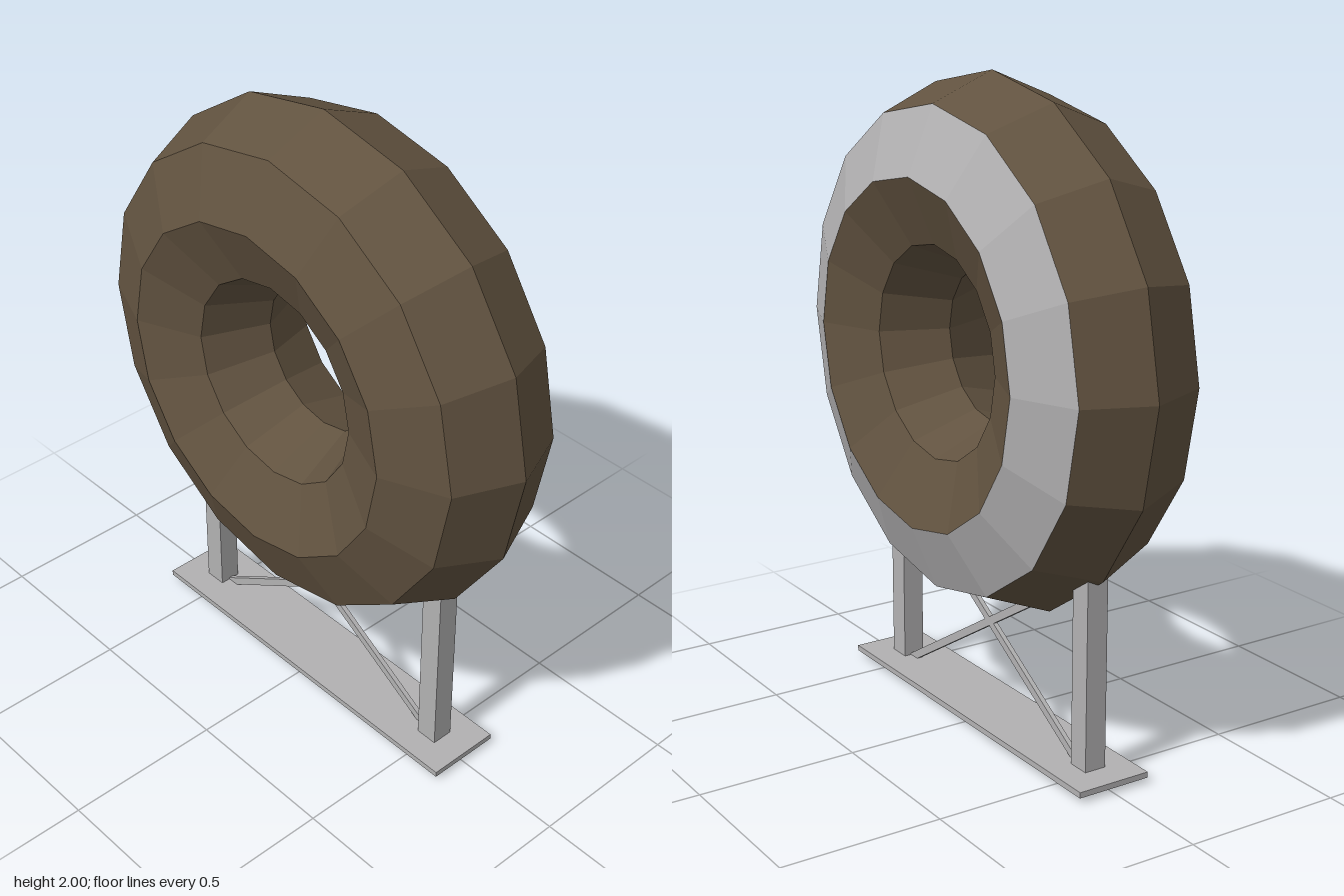
import * as THREE from 'three';

export function createModel() {
  const model = new THREE.Group();
  const brown = new THREE.MeshStandardMaterial({ color: 0x625340, flatShading: true });
  brown.name = 'brown';
  const grey = new THREE.MeshStandardMaterial({ color: 0xb2b1b2, flatShading: true });
  grey.name = 'grey';

  // Faceted ring facing sideways, with one grey band on its left side
  const sides = 8, segments = 16, row = segments * 6;
  const ringGeometry = new THREE.TorusGeometry(0.523, 0.284, sides, segments);
  ringGeometry.rotateY(Math.PI / 2);
  ringGeometry.clearGroups();
  ringGeometry.addGroup(0, row, 0);
  ringGeometry.addGroup(row, row, 1);
  ringGeometry.addGroup(row * 2, row * (sides - 2), 0);
  const flatRing = ringGeometry.toNonIndexed();
  flatRing.computeVertexNormals();
  const ring = new THREE.Mesh(flatRing, [brown, grey]);
  ring.name = 'ring';
  ring.position.y = 1.193;
  model.add(ring);

  function addBox(name, size, position, tilt = 0) {
    const mesh = new THREE.Mesh(new THREE.BoxGeometry(...size), grey);
    mesh.name = name;
    mesh.position.set(...position);
    mesh.rotation.x = tilt;
    model.add(mesh);
  }

  // Stand: base plate, two posts and crossed braces
  addBox('basePlate', [0.24, 0.018, 1.28], [0, 0.026, 0]);
  for (const side of [1, -1]) {
    addBox(side > 0 ? 'frontPost' : 'backPost', [0.07, 0.61, 0.072], [0, 0.335, side * 0.511]);
    addBox(side > 0 ? 'fallingBrace' : 'risingBrace', [0.015, 0.025, 1.17], [0.004, 0.315, 0], side * 0.547);
  }

  return model;
}
